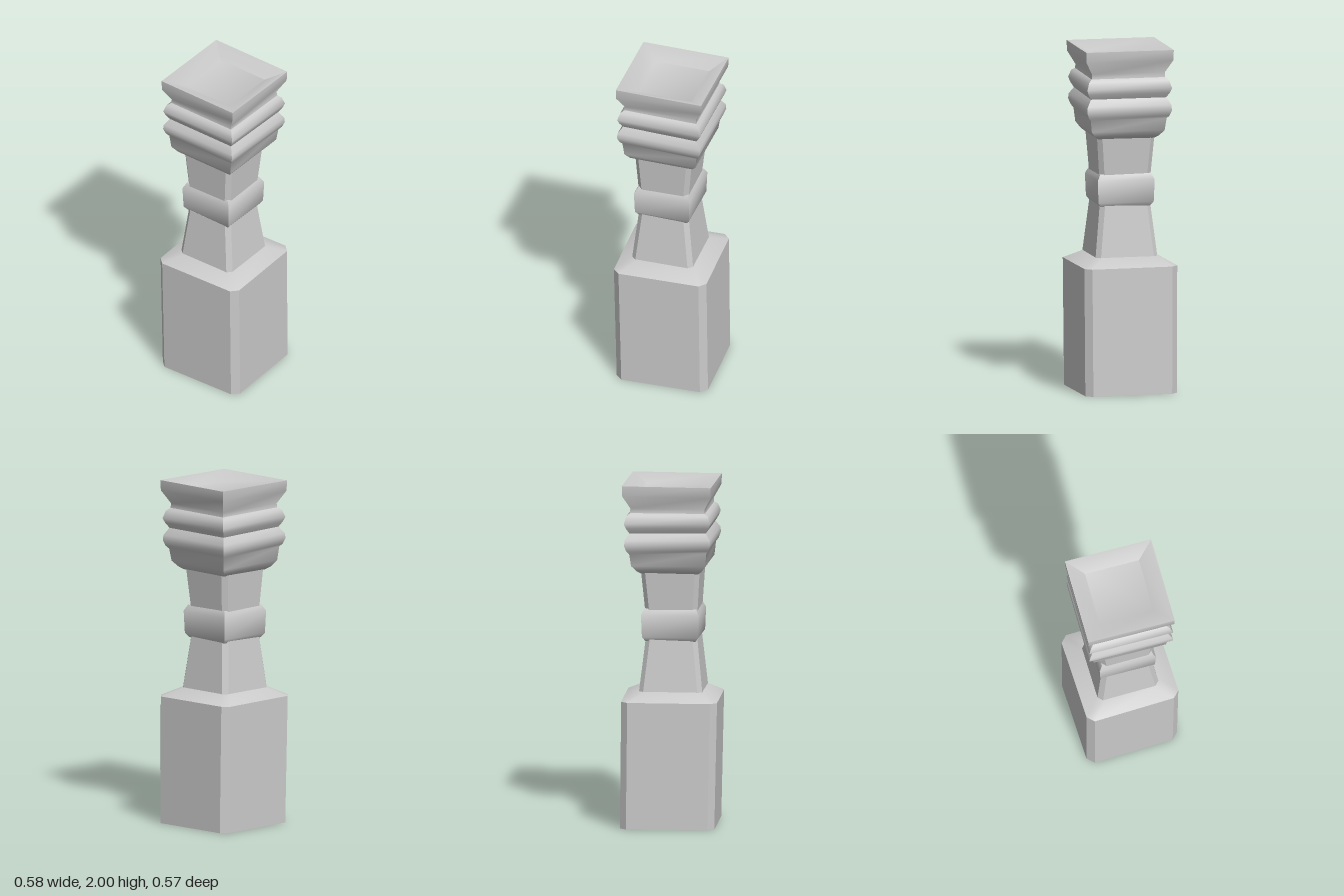
import * as THREE from 'three';
import { toCreasedNormals } from 'three/addons/utils/BufferGeometryUtils.js';

const material = new THREE.MeshStandardMaterial({ color: 0xcccccc });

// Outline of a square (or chamfered square), counter-clockwise from above.
function outline({ y, half, x = 0, z = 0, turn = 0, tilt = 0 }, chamfer) {
  const h = half, k = half - chamfer, points = [];
  for (let i = 0; i < 4; i++) {
    const corner = chamfer > 0 ? [[h, -k], [k, -h]] : [[h, -h]];
    for (const [px, pz] of corner) {
      const p = new THREE.Vector3(px, 0, pz);
      p.applyAxisAngle(new THREE.Vector3(0, 1, 0), i * Math.PI / 2 + turn);
      points.push(new THREE.Vector3(p.x + x, y - tilt * p.x, p.z + z));
    }
  }
  return points;
}

// Joins square sections from bottom to top and closes both ends.
function loft(name, sections, chamfer = 0) {
  const rings = sections.map((s) => outline(s, chamfer));
  const n = rings[0].length, positions = [];
  const tri = (...pts) => pts.forEach((p) => positions.push(p.x, p.y, p.z));
  for (let i = 0; i < rings.length - 1; i++) {
    for (let j = 0; j < n; j++) {
      const k = (j + 1) % n;
      tri(rings[i][j], rings[i][k], rings[i + 1][k]);
      tri(rings[i][j], rings[i + 1][k], rings[i + 1][j]);
    }
  }
  const bottom = rings[0], top = rings[rings.length - 1];
  for (let j = 1; j < n - 1; j++) {
    tri(bottom[0], bottom[j + 1], bottom[j]);
    tri(top[0], top[j], top[j + 1]);
  }
  const geometry = new THREE.BufferGeometry();
  geometry.setAttribute('position', new THREE.Float32BufferAttribute(positions, 3));
  const mesh = new THREE.Mesh(toCreasedNormals(geometry, 0.7), material);
  mesh.name = name;
  return mesh;
}

export function createModel() {
  const model = new THREE.Group();
  model.name = 'pillar';

  // Chamfered block, turned and leaning slightly, with a bevelled shoulder
  model.add(loft('base', [
    { y: 0, half: 0.273, x: 0.007, turn: 0.04 },
    { y: 0.74, half: 0.277, x: -0.005, turn: 0.04 },
    { y: 0.79, half: 0.187, x: -0.01, turn: 0.03 },
  ], 0.038));

  // Waisted shaft in two tapering lengths
  model.add(loft('lowerShaft', [
    { y: 0.78, half: 0.184, x: -0.01, turn: 0.02 },
    { y: 1.09, half: 0.15, x: -0.012, turn: 0.02 },
  ], 0.026));
  model.add(loft('upperShaft', [
    { y: 1.26, half: 0.152, x: -0.012, turn: 0.01 },
    { y: 1.49, half: 0.17, x: -0.008, turn: 0.01 },
  ], 0.026));

  // Collar around the waist
  model.add(loft('collar', [
    [1.08, 0.145], [1.105, 0.163], [1.235, 0.168], [1.27, 0.15],
  ].map(([y, half]) => ({ y, half, x: -0.01 }))));

  // Moulded capital with two bulging bands and a sunken top
  model.add(loft('capital', [
    [1.478, 0.165, 0], [1.495, 0.188, 0], [1.53, 0.215, 0.01], [1.605, 0.224, 0.03],
    [1.622, 0.238, 0.03], [1.655, 0.25, 0.03], [1.685, 0.247, 0.025], [1.725, 0.222, 0.02],
    [1.755, 0.24, 0.02], [1.782, 0.25, 0.02], [1.825, 0.236, 0.015],
    [1.84, 0.217, 0.01], [1.865, 0.215, 0], [1.94, 0.256, 0], [2, 0.258, 0],
    [2, 0.254, 0],
  ].map(([y, half, tilt]) => ({ y, half, tilt, x: -0.006 * (2 - y) / 0.5 }))
    .concat({ y: 1.95, half: 0.161, x: 0.01 })));

  return model;
}
